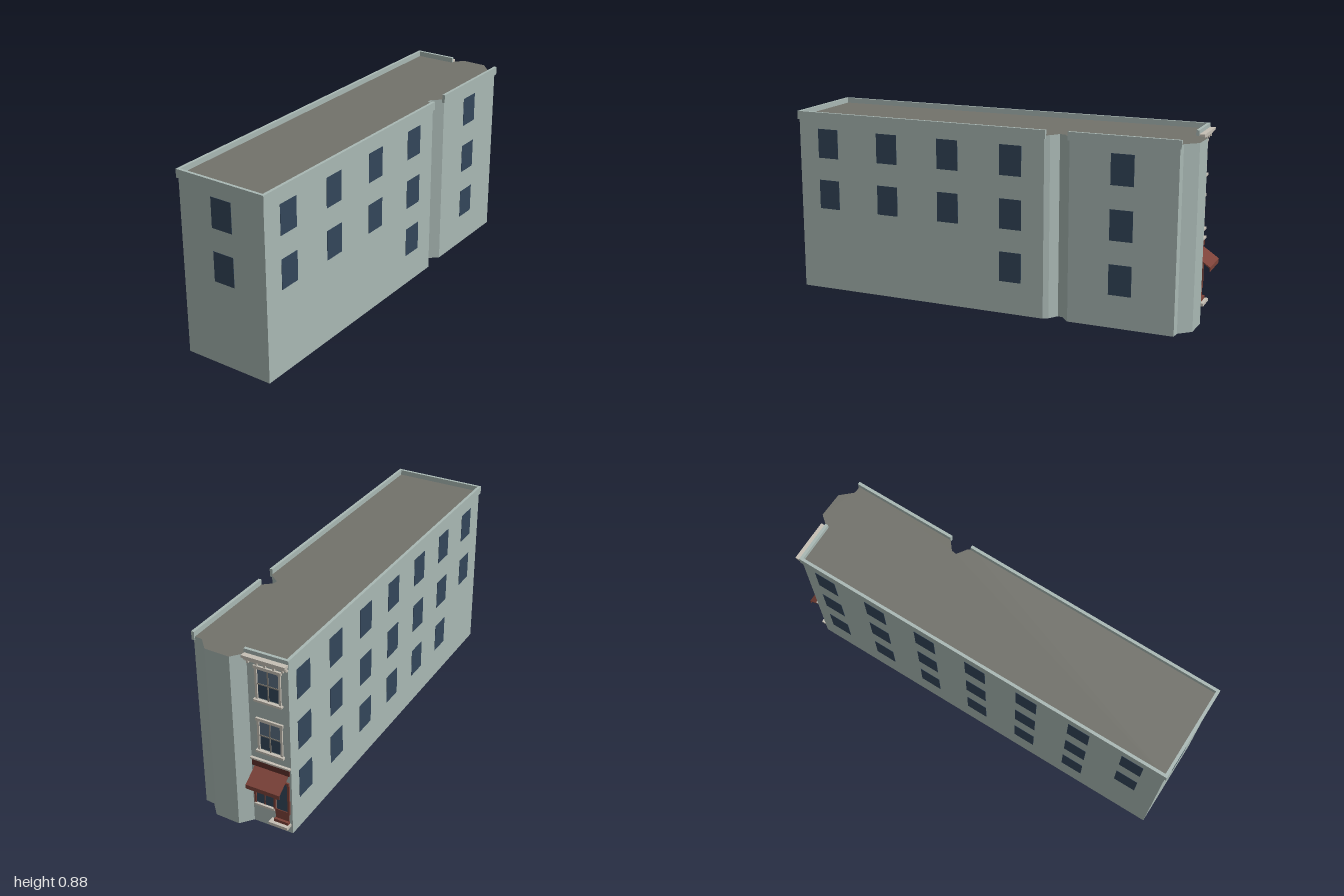
import * as THREE from 'three';

const mat = (color) => new THREE.MeshStandardMaterial({ color, flatShading: true });
const M = {
  wall: mat(0xa9b8b4), roof: mat(0x72726b), glass: mat(0x33465a), pane: mat(0x5a6d80),
  stone: mat(0xc6c0b5), frame: mat(0x8f8a80), red: mat(0x7c4238), sign: mat(0x5e302b),
};

// Footprint [x, z], running front, right side, notch, rear bay, shop facade, left side
const plan = [
  [-0.07, 0.99], [0.378, 0.923],
  [0.186, -0.342], [0.167, -0.362], [0.119, -0.385], [0.119, -0.41], [0.16, -0.457],
  [0.083, -0.953], [0.04, -0.95], [-0.02, -0.998], [-0.14, -0.983], [-0.177, -0.921],
  [-0.37, -0.89],
];
const ROOF = 0.86;
const FLOORS = [0.227, 0.48, 0.7325];

// Group on a wall: local x runs along it, local z points outwards
function wallGroup(i, name) {
  const a = plan[i], b = plan[(i + 1) % plan.length];
  const dx = b[0] - a[0], dz = b[1] - a[1];
  const g = new THREE.Group();
  g.name = name;
  g.position.set(a[0], 0, a[1]);
  g.rotation.y = Math.atan2(-dz, dx);
  g.userData.length = Math.hypot(dx, dz);
  return g;
}

// Box given by its width, height and the span of depth from z0 to z1
function box(parent, name, material, x, y, w, h, z0, z1) {
  const m = new THREE.Mesh(new THREE.BoxGeometry(w, h, z1 - z0), material);
  m.name = name;
  m.position.set(x, y, (z0 + z1) / 2);
  parent.add(m);
  return m;
}

function plainWindow(parent, x, floor) {
  box(parent, 'window', M.glass, x, FLOORS[floor], 0.108, 0.143, -0.004, 0.0015);
}

function parapet(parent) {
  const L = parent.userData.length;
  box(parent, 'parapet', M.wall, L / 2, 0.865, L + 0.014, 0.04, -0.007, 0.007);
}

// Framed sash window with lintel and sill
function sashWindow(parent, x, y) {
  const g = new THREE.Group();
  g.name = 'sashWindow';
  g.position.set(x, y, 0);
  const w = 0.112, h = 0.15;
  for (const s of [-1, 1]) {
    box(g, 'windowJamb', M.stone, s * w / 2, 0, 0.01, h, 0, 0.007);
    box(g, 'lowerPane', M.glass, s * 0.026, -0.036, 0.046, 0.066, 0, 0.002);
    box(g, 'upperPane', M.pane, s * 0.026, 0.036, 0.046, 0.066, 0, 0.003);
  }
  box(g, 'mullion', M.frame, 0, 0, 0.006, h, 0, 0.005);
  box(g, 'meetingRail', M.frame, 0, 0, w, 0.006, 0, 0.005);
  box(g, 'lintel', M.stone, 0, h / 2 + 0.005, w + 0.02, 0.014, 0, 0.01);
  box(g, 'sill', M.stone, 0, -h / 2 - 0.004, w + 0.024, 0.01, 0, 0.016);
  parent.add(g);
}

function shopFront(f) {
  // Two upper storeys
  sashWindow(f, 0.1, 0.732);
  sashWindow(f, 0.1, 0.475);

  // Cornice with brackets
  box(f, 'corniceTop', M.stone, 0.0975, 0.861, 0.205, 0.012, 0, 0.032);
  box(f, 'corniceBand', M.stone, 0.0975, 0.849, 0.2, 0.012, 0, 0.022);
  box(f, 'corniceMoulding', M.stone, 0.0975, 0.836, 0.198, 0.007, 0, 0.012);
  for (let i = 0; i < 5; i++) {
    box(f, 'corniceBracket', M.stone, 0.015 + i * 0.041, 0.84, 0.009, 0.022, 0, 0.02);
  }

  // Sign band between thin mouldings
  box(f, 'signBand', M.sign, 0.0975, 0.325, 0.184, 0.034, 0, 0.007);
  box(f, 'signMoulding', M.stone, 0.0975, 0.346, 0.195, 0.008, 0, 0.013);

  // Sloping awning with a short valance
  const s = new THREE.Shape([
    [0, 0.305], [0.078, 0.252], [0.078, 0.232], [0.074, 0.232], [0.074, 0.248], [0, 0.298],
  ].map(([x, y]) => new THREE.Vector2(x, y)));
  const geo = new THREE.ExtrudeGeometry(s, { depth: 0.165, bevelEnabled: false });
  geo.rotateY(-Math.PI / 2).translate(0.18, 0, 0);
  const awning = new THREE.Mesh(geo, M.red);
  awning.name = 'awning';
  f.add(awning);

  // Display window, door and their frame
  box(f, 'displayWindow', M.glass, 0.061, 0.185, 0.088, 0.15, 0, 0.003);
  box(f, 'displayMullion', M.red, 0.061, 0.185, 0.004, 0.15, 0, 0.006);
  box(f, 'displaySill', M.stone, 0.061, 0.104, 0.1, 0.01, 0, 0.014);
  box(f, 'doorGlass', M.glass, 0.147, 0.185, 0.054, 0.15, 0, 0.003);
  box(f, 'doorPanel', M.red, 0.147, 0.08, 0.066, 0.06, 0, 0.006);
  for (const x of [0.014, 0.111, 0.181]) {
    box(f, 'shopPost', M.red, x, 0.18, 0.01, 0.16, 0, 0.008);
  }
  box(f, 'shopTransom', M.red, 0.0975, 0.264, 0.177, 0.01, 0, 0.008);

  // Door step
  box(f, 'doorStep', M.stone, 0.14, 0.042, 0.095, 0.014, 0, 0.034);
  box(f, 'upperStep', M.red, 0.147, 0.056, 0.07, 0.014, 0, 0.018);
}

export function createModel() {
  const model = new THREE.Group();
  model.name = 'building';

  // Main block, with the flat roof as its cap
  const shape = new THREE.Shape(plan.map(([x, z]) => new THREE.Vector2(x, -z)));
  const geo = new THREE.ExtrudeGeometry(shape, { depth: ROOF, bevelEnabled: false });
  geo.rotateX(-Math.PI / 2);
  const body = new THREE.Mesh(geo, [M.roof, M.wall]);
  body.name = 'body';
  model.add(body);

  const front = wallGroup(0, 'frontWall');
  const rightFront = wallGroup(1, 'rightWallFront');
  const rightRear = wallGroup(6, 'rightWallRear');
  const facade = wallGroup(11, 'shopFacade');
  const left = wallGroup(12, 'leftWall');
  for (const w of [front, rightFront, rightRear, facade, left]) {
    parapet(w);
    model.add(w);
  }

  // Front: two windows above a blank ground floor
  for (const floor of [1, 2]) plainWindow(front, 0.227, floor);

  // Right side: ground floor windows only towards the rear
  for (let i = 0; i < 4; i++) {
    for (let floor = i === 3 ? 0 : 1; floor < 3; floor++) {
      plainWindow(rightFront, 0.157 + i * 0.3195, floor);
    }
  }
  for (let floor = 0; floor < 3; floor++) plainWindow(rightRear, 0.247, floor);

  // Left side: seven bays, the front one without a ground floor window
  for (let i = 0; i < 7; i++) {
    for (let floor = i === 6 ? 1 : 0; floor < 3; floor++) {
      plainWindow(left, 0.117 + i * 0.272, floor);
    }
  }

  shopFront(facade);
  return model;
}
